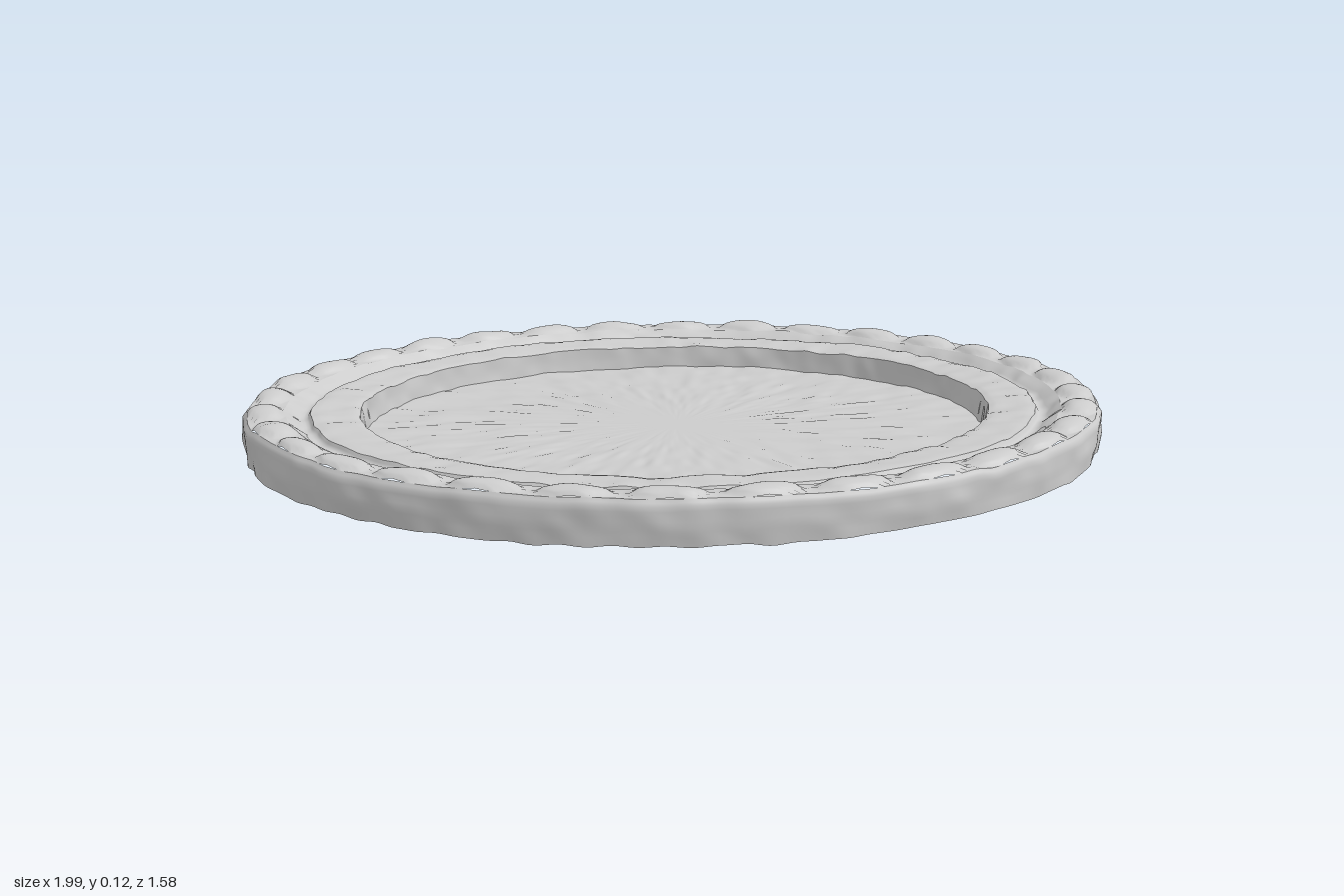
import * as THREE from 'three';
import { mergeVertices } from 'three/addons/utils/BufferGeometryUtils.js';

const SEGMENTS = 384, BEADS = 32, DEPTH = 0.795;
const TAU = Math.PI * 2;
const material = new THREE.MeshStandardMaterial({ color: 0xcccccc });

// Seeded lattice value in -1..1
function hash(i, j, seed) {
  const s = Math.sin(i * 127.1 + j * 311.7 + seed * 74.7) * 43758.5453;
  return (s - Math.floor(s)) * 2 - 1;
}

// Smooth noise that wraps around the oval; "around" is the cell count per turn
function noise(turn, along, around, seed) {
  const a = turn * around, i = Math.floor(a), j = Math.floor(along);
  const ease = (t) => t * t * (3 - 2 * t);
  const u = ease(a - i), v = ease(along - j);
  const at = (di, dj) => hash((i + di) % around, j + dj, seed);
  return THREE.MathUtils.lerp(
    THREE.MathUtils.lerp(at(0, 0), at(1, 0), u),
    THREE.MathUtils.lerp(at(0, 1), at(1, 1), u), v);
}

// Hand-worked surface: long radial streaks plus broader waves, calm in the middle
function roughness(turn, r, y, seed) {
  const fade = THREE.MathUtils.smoothstep(r, 0.02, 0.5);
  const along = r * 16 + y * 25;
  return fade * (0.6 * noise(turn, along, 120, seed) + 0.4 * noise(turn, along * 0.7, 48, seed + 3));
}

// Dome height of the oval beads around the rim
function bead(turn, r) {
  const t = turn * BEADS;
  const u = (t - Math.floor(t) - 0.5) / 0.42;
  const v = (r - 0.943) / 0.04;
  return 0.017 * Math.sqrt(Math.max(0, 1 - u * u - v * v));
}

// Split a coarse profile into even rows
function subdivide(points, step) {
  const rows = [];
  points.forEach(([r, y], i) => {
    if (i === 0) return rows.push(new THREE.Vector2(r, y));
    const [r0, y0] = points[i - 1];
    const n = Math.max(1, Math.ceil(Math.hypot(r - r0, y - y0) / step));
    for (let k = 1; k <= n; k++) {
      rows.push(new THREE.Vector2(r0 + (r - r0) * k / n, y0 + (y - y0) * k / n));
    }
  });
  return rows;
}

// Sweep one section of the profile around the oval and roughen it
function band(name, points, step, beaded = false) {
  let geometry = new THREE.LatheGeometry(subdivide(points, step), SEGMENTS);
  geometry.deleteAttribute('uv');
  geometry.deleteAttribute('normal');
  geometry = mergeVertices(geometry, 1e-5);
  const p = geometry.attributes.position;
  for (let i = 0; i < p.count; i++) {
    const x = p.getX(i), y = p.getY(i), z = p.getZ(i);
    const r = Math.hypot(x, z);
    const turn = ((Math.atan2(x, z) / TAU) + 1) % 1;
    const lift = 0.005 * roughness(turn, r, y, 1) + (beaded ? bead(turn, r) : 0);
    const swell = 1 + 0.006 * roughness(turn, r, y, 9);
    p.setXYZ(i, x * swell, y + lift, z * swell * DEPTH);
  }
  geometry.computeVertexNormals();
  const mesh = new THREE.Mesh(geometry, material);
  mesh.name = name;
  return mesh;
}

export function createModel() {
  const group = new THREE.Group();
  group.name = 'ovalPlate';
  group.add(
    band('underside', [[0, 0.008], [0.99, 0.008]], 0.035),
    band('outerWall', [[0.99, 0.008], [0.994, 0.05], [0.992, 0.09], [0.982, 0.103]], 0.013),
    // Rim with a ring of oval beads
    band('beadedRim', [[0.982, 0.103], [0.9, 0.101]], 0.007, true),
    // Slope down to a groove, then up onto the flat inner ring
    band('groove', [[0.9, 0.101], [0.885, 0.092], [0.865, 0.078], [0.85, 0.078], [0.842, 0.09]], 0.01),
    band('innerRing', [[0.842, 0.09], [0.82, 0.092], [0.75, 0.088], [0.732, 0.084]], 0.018),
    band('innerWall', [[0.732, 0.084], [0.724, 0.03]], 0.012),
    band('floor', [[0.724, 0.03], [0, 0.03]], 0.022),
  );
  return group;
}
